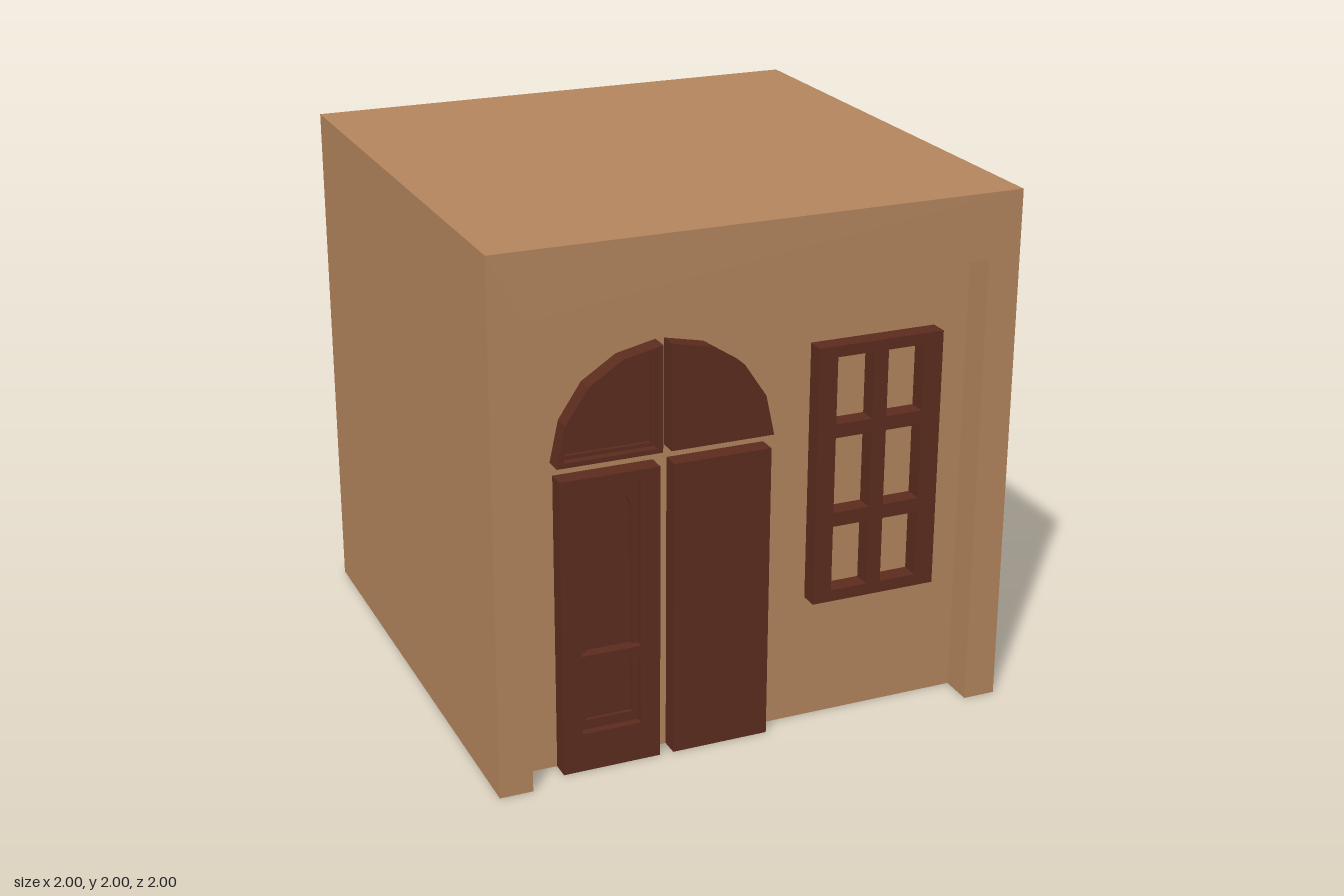
import * as THREE from 'three';

const wallMat = new THREE.MeshStandardMaterial({ color: 0xb4865e, flatShading: true });
const woodMat = new THREE.MeshStandardMaterial({ color: 0x5c2c1e, flatShading: true });

const WALL_Z = 0.87;   // back wall of the recess
const STEP_Z = 0.895;  // floor of the sunk panels
const TRIM_Z = 0.91;   // moulding step around the panels
const FRONT_Z = 0.94;  // face of the joinery

const rect = (x0, y0, x1, y1) => [[x0, y0], [x1, y0], [x1, y1], [x0, y1]];

// Rectangle whose upper corners are rounded into an arch
function arch(x0, y0, x1, y1, r = 0.07) {
  const pts = [[x0, y0], [x1, y0]];
  for (let i = 0; i <= 5; i++) {
    const a = (i / 5) * Math.PI / 2;
    pts.push([x1 - r + r * Math.cos(a), y1 - r + r * Math.sin(a)]);
  }
  for (let i = 0; i <= 5; i++) {
    const a = Math.PI / 2 + (i / 5) * Math.PI / 2;
    pts.push([x0 + r + r * Math.cos(a), y1 - r + r * Math.sin(a)]);
  }
  return pts;
}

// Flat plate with holes between two depths; flip mirrors it across x = 0
function plate(name, outline, holes, z0, z1, mat, flip = 1) {
  const toPts = (p) => p.map(([x, y]) => new THREE.Vector2(x * flip, y));
  const shape = new THREE.Shape(toPts(outline));
  for (const h of holes) shape.holes.push(new THREE.Path(toPts(h)));
  const geo = new THREE.ExtrudeGeometry(shape, { depth: z1 - z0, bevelEnabled: false });
  const mesh = new THREE.Mesh(geo, mat);
  mesh.position.z = z0;
  mesh.name = name;
  return mesh;
}

// Panelled piece: solid back, moulding step, then the face frame
function panelled(name, outline, trimHoles, faceHoles, flip) {
  const g = new THREE.Group();
  g.name = name;
  g.add(
    plate('backPanel', outline, [], WALL_Z, STEP_Z, woodMat, flip),
    plate('moulding', outline, trimHoles, STEP_Z, TRIM_Z, woodMat, flip),
    plate('faceFrame', outline, faceHoles, TRIM_Z, FRONT_Z, woodMat, flip),
  );
  return g;
}

export function createModel() {
  const model = new THREE.Group();

  // Solid block with a portal frame standing in front of it
  const block = new THREE.Mesh(new THREE.BoxGeometry(2, 2, 1 + WALL_Z), wallMat);
  block.position.set(0, 1, (WALL_Z - 1) / 2);
  block.name = 'buildingBlock';
  model.add(block);
  const portal = [[-1, 0], [-0.875, 0], [-0.875, 1.755], [0.875, 1.755],
    [0.875, 0], [1, 0], [1, 2], [-1, 2]];
  model.add(plate('portalFrame', portal, [], WALL_Z, 1, wallMat));

  // Door leaf and half fanlight, drawn left of the doorway's centre line
  const door = rect(-0.4, 0, -0.026, 1.14);
  const doorTrim = [arch(-0.298, 0.46, -0.124, 1.055), rect(-0.298, 0.187, -0.124, 0.417)];
  const doorFace = [rect(-0.325, 0.46, -0.1, 1.11), rect(-0.325, 0.15, -0.1, 0.417)];

  const fan = [[-0.409, 1.19], [-0.016, 1.19], [-0.016, 1.585],
    [-0.163, 1.553], [-0.291, 1.47], [-0.376, 1.342]];
  const inset = (s, x, y) => fan.map(([px, py]) => [x + (px + 0.016) * s, y + (py - 1.19) * s]);
  const fanFace = inset(0.885, -0.036, 1.208);
  const fanTrim = inset(0.81, -0.048, 1.222);

  for (const [side, flip] of [['right', 1], ['left', -1]]) {
    const bay = new THREE.Group();
    bay.name = side + 'DoorBay';
    bay.position.x = -0.336;
    bay.add(
      panelled(side + 'Door', door, doorTrim, doorFace, flip),
      panelled(side + 'Fanlight', fan, [fanTrim], [fanFace], flip),
    );
    model.add(bay);
  }

  // Window frame with two by three open lights
  const lights = [];
  for (const [x0, x1] of [[0.318, 0.463], [0.52, 0.665]]) {
    for (const [y0, y1] of [[0.535, 0.79], [0.845, 1.137], [1.19, 1.445]]) {
      lights.push(rect(x0, y0, x1, y1));
    }
  }
  model.add(plate('windowFrame', rect(0.245, 0.49, 0.74, 1.487), lights, WALL_Z, FRONT_Z, woodMat));

  return model;
}
